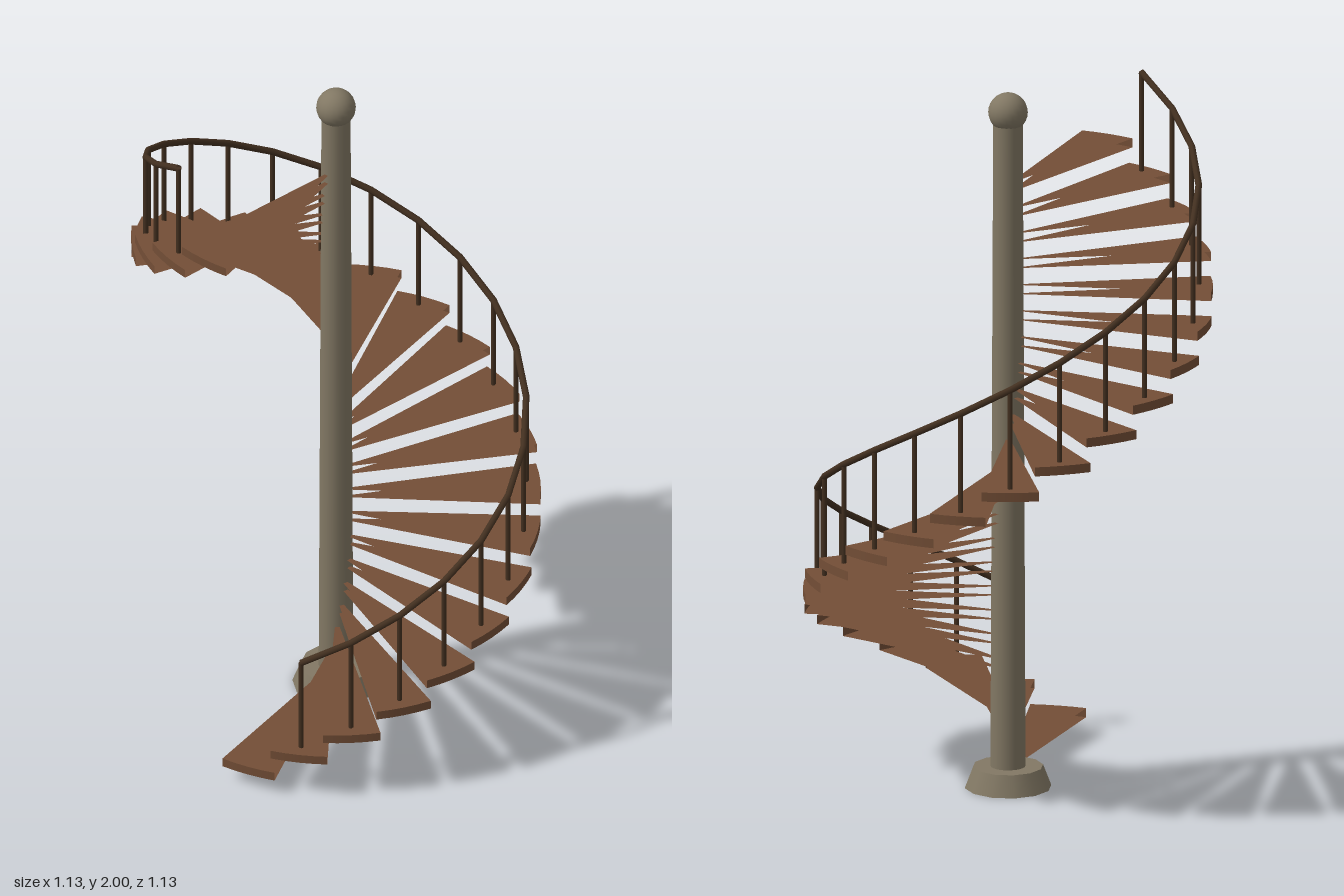
import * as THREE from 'three';

const STEPS = 24, STEP_ANGLE = (Math.PI * 2) / STEPS;
const FIRST_Y = 0.0585, RISE = 0.0724, THICK = 0.026;
const TREAD_R = 0.567, RAIL_R = 0.528, RAIL_H = 0.298;

export function createModel() {
  const stone = new THREE.MeshStandardMaterial({ color: 0x827864 });
  const wood = new THREE.MeshStandardMaterial({ color: 0x734e36, side: THREE.DoubleSide });
  const darkWood = new THREE.MeshStandardMaterial({ color: 0x433020, side: THREE.DoubleSide });
  stone.name = 'stone';
  wood.name = 'wood';
  darkWood.name = 'dark wood';

  const group = new THREE.Group();
  group.name = 'spiralStaircase';
  const add = (name, geometry, material, x, y, z) => {
    const mesh = new THREE.Mesh(geometry, material);
    mesh.name = name;
    mesh.position.set(x, y, z);
    group.add(mesh);
  };

  // Central column with a flared foot and ball finial
  add('columnBase', new THREE.CylinderGeometry(0.098, 0.121, 0.06, 12), stone, 0, 0.03, 0);
  add('column', new THREE.CylinderGeometry(0.041, 0.049, 1.92, 16), stone, 0, 0.96, 0);
  add('finial', new THREE.SphereGeometry(0.055, 20, 14), stone, 0, 1.945, 0);

  // Pie-slice treads, open along the radial sides and slightly overlapping
  const overlap = STEP_ANGLE * 0.04;
  const treadGeo = new THREE.CylinderGeometry(
    TREAD_R, TREAD_R, THICK, 4, 1, false, -overlap, STEP_ANGLE + 2 * overlap);
  // Balusters stand on the middle of every tread but the first and last
  const postGeo = new THREE.CylinderGeometry(0.007, 0.007, RAIL_H, 6);
  const railPoints = [];
  for (let i = 0; i < STEPS; i++) {
    const y = FIRST_Y + i * RISE;
    add('tread' + (i + 1), treadGeo, wood, 0, y, 0);
    group.children[group.children.length - 1].rotation.y = i * STEP_ANGLE;
    if (i === 0 || i === STEPS - 1) continue;
    const a = (i + 0.5) * STEP_ANGLE;
    const x = Math.sin(a) * RAIL_R, z = Math.cos(a) * RAIL_R;
    add('baluster' + i, postGeo, darkWood, x, y + RAIL_H / 2, z);
    railPoints.push(new THREE.Vector3(x, y + RAIL_H, z));
  }

  // Handrail: one straight length between neighbouring balusters
  const railCurve = new THREE.CatmullRomCurve3(railPoints);
  add('handrail', new THREE.TubeGeometry(railCurve, railPoints.length - 1, 0.0095, 8), darkWood, 0, 0, 0);

  return group;
}
